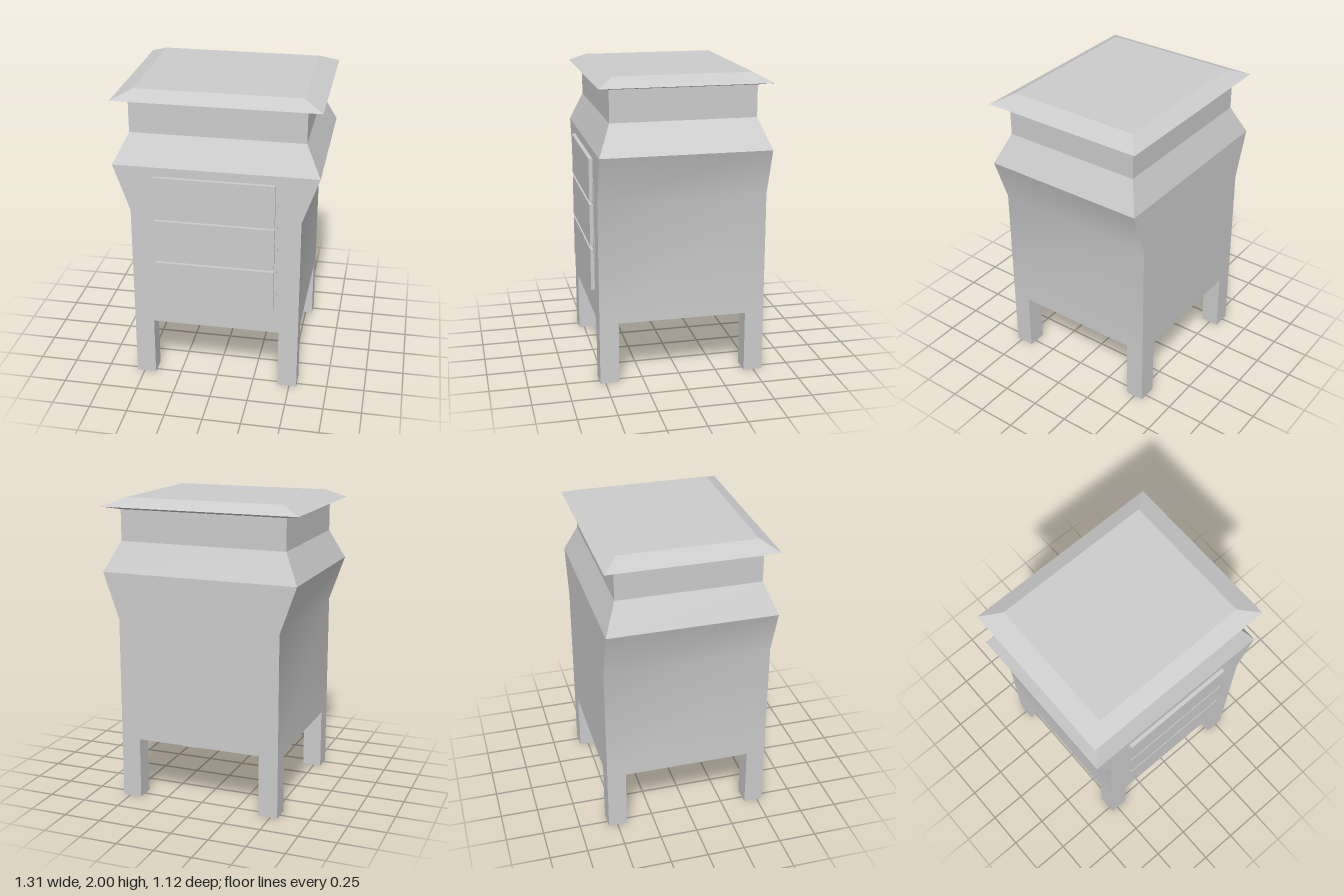
import * as THREE from 'three';
import { toCreasedNormals } from 'three/addons/utils/BufferGeometryUtils.js';

const CZ = -0.0125; // body centre in z
const material = new THREE.MeshStandardMaterial({ color: 0xcccccc });

// Closed loft through rectangular sections [y, halfWidth, halfDepth], bottom to top
function loft(sections) {
  const pos = [], idx = [];
  for (const [y, w, d] of sections) {
    pos.push(-w, y, CZ + d, w, y, CZ + d, w, y, CZ - d, -w, y, CZ - d);
  }
  for (let s = 0; s < sections.length - 1; s++) {
    for (let i = 0; i < 4; i++) {
      const a = s * 4 + i, b = s * 4 + (i + 1) % 4;
      idx.push(a, b, b + 4, a, b + 4, a + 4);
    }
  }
  const t = (sections.length - 1) * 4;
  idx.push(0, 2, 1, 0, 3, 2, t, t + 1, t + 2, t, t + 2, t + 3);
  const g = new THREE.BufferGeometry();
  g.setAttribute('position', new THREE.Float32BufferAttribute(pos, 3));
  g.setIndex(idx);
  return toCreasedNormals(g, 0.36);
}

// Box given by its limits on each axis
function box(x0, x1, y0, y1, z0, z1) {
  return new THREE.BoxGeometry(x1 - x0, y1 - y0, z1 - z0)
    .translate((x0 + x1) / 2, (y0 + y1) / 2, (z0 + z1) / 2);
}

export function createModel() {
  const group = new THREE.Group();
  const add = (name, geometry) => {
    const mesh = new THREE.Mesh(geometry, material);
    mesh.name = name;
    group.add(mesh);
  };

  // Cabinet flaring sideways, then tapering to a neck
  add('body', loft([
    [0.41, 0.548, 0.5475],
    [1.22, 0.548, 0.5475],
    [1.525, 0.655, 0.5475],
    [1.72, 0.558, 0.4675],
    [1.93, 0.558, 0.4675],
  ]));

  // Overhanging bevelled lid
  add('lid', loft([
    [1.925, 0.558, 0.4675],
    [1.945, 0.655, 0.545],
    [2.0, 0.53, 0.4425],
  ]));

  // Four square legs
  for (const sx of [-1, 1]) {
    for (const sz of [-1, 1]) {
      add(`${sz > 0 ? 'front' : 'back'}${sx > 0 ? 'Left' : 'Right'}Leg`,
        box(-0.064, 0.064, 0, 0.41, -0.0625, 0.0625)
          .translate(sx * 0.484, 0, CZ + sz * 0.485));
    }
  }

  // Thin backing panel and three raised drawer fronts
  add('drawerBacking', box(-0.405, 0.4, 0.69, 1.44, 0.52, 0.538));
  for (let i = 0; i < 3; i++) {
    const y = 0.592 + i * 0.299;
    add('drawer' + (i + 1), box(-0.393, 0.383, y, y + 0.276, 0.53, 0.56));
  }
  return group;
}
